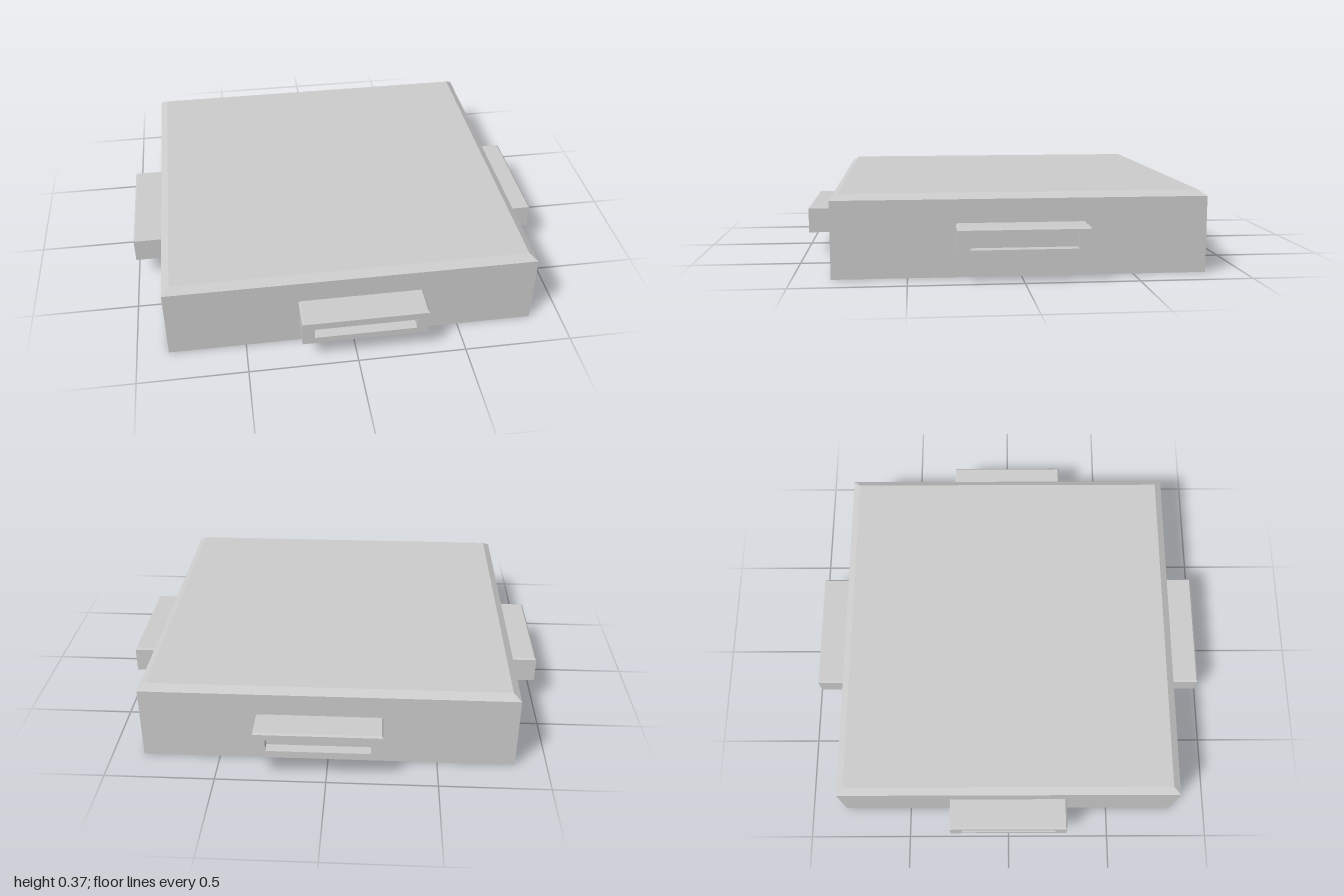
import * as THREE from 'three';

const material = new THREE.MeshStandardMaterial({ color: 0xcccccc, flatShading: true });

// Box standing on y = 0 whose four top edges are chamfered
function chamferedBox(w, h, d, drop, inset) {
  const box = new THREE.BoxGeometry(w, h, d, 1, 2, 1).translate(0, h / 2, 0);
  const p = box.attributes.position;
  for (let i = 0; i < p.count; i++) {
    const y = p.getY(i);
    if (y > h * 0.9) {
      p.setX(i, p.getX(i) - Math.sign(p.getX(i)) * inset);
      p.setZ(i, p.getZ(i) - Math.sign(p.getZ(i)) * inset);
    } else if (y > h * 0.1) p.setY(i, h - drop);
  }
  const geo = box.toNonIndexed();
  geo.computeVertexNormals();
  return geo;
}

function rectangle(path, w, y0, y1) {
  path.moveTo(-w / 2, y0);
  path.lineTo(w / 2, y0);
  path.lineTo(w / 2, y1);
  path.lineTo(-w / 2, y1);
  path.closePath();
  return path;
}

function addMesh(parent, geometry, name) {
  const mesh = new THREE.Mesh(geometry, material);
  mesh.name = name;
  parent.add(mesh);
  return mesh;
}

// Port block facing +z with its back on z = 0 and a recessed slot in front
function createPort(name) {
  const width = 0.576, bottom = 0.115, top = 0.24, depth = 0.146, slotDepth = 0.05;
  const bevel = 0.008, shoulder = top - bevel, buried = 0.02;
  const port = new THREE.Group();
  port.name = name;

  // Frame around the slot
  const outline = rectangle(new THREE.Shape(), width, bottom, shoulder);
  outline.holes.push(rectangle(new THREE.Path(), 0.466, 0.147, 0.205));
  const frame = new THREE.ExtrudeGeometry(outline, { depth: slotDepth, bevelEnabled: false });
  addMesh(port, frame, 'slotFrame').position.z = depth - slotDepth;

  // Solid block behind the slot
  const coreDepth = depth - slotDepth + buried;
  const core = new THREE.BoxGeometry(width, shoulder - bottom, coreDepth);
  addMesh(port, core, 'portCore').position.set(0, (bottom + shoulder) / 2, coreDepth / 2 - buried);

  // Chamfered top, running slightly into the body
  const lidDepth = depth + buried;
  const lid = chamferedBox(width, bevel + 0.002, lidDepth, bevel, bevel);
  addMesh(port, lid, 'portLid').position.set(0, shoulder - 0.002, lidDepth / 2 - buried);
  return port;
}

export function createModel() {
  const model = new THREE.Group();
  model.name = 'connectorModule';
  const halfX = 0.855, halfZ = 0.83;

  // Main slab with chamfered top
  addMesh(model, chamferedBox(halfX * 2, 0.37, halfZ * 2, 0.025, 0.035), 'body');

  // One port on each side; front and back sit a little off centre
  const ports = [
    ['frontPort', 0.036, halfZ, 0],
    ['backPort', 0.036, -halfZ, Math.PI],
    ['leftPort', halfX, 0, Math.PI / 2],
    ['rightPort', -halfX, 0, -Math.PI / 2],
  ];
  for (const [name, x, z, turn] of ports) {
    const port = createPort(name);
    port.position.set(x, 0, z);
    port.rotation.y = turn;
    model.add(port);
  }
  return model;
}
